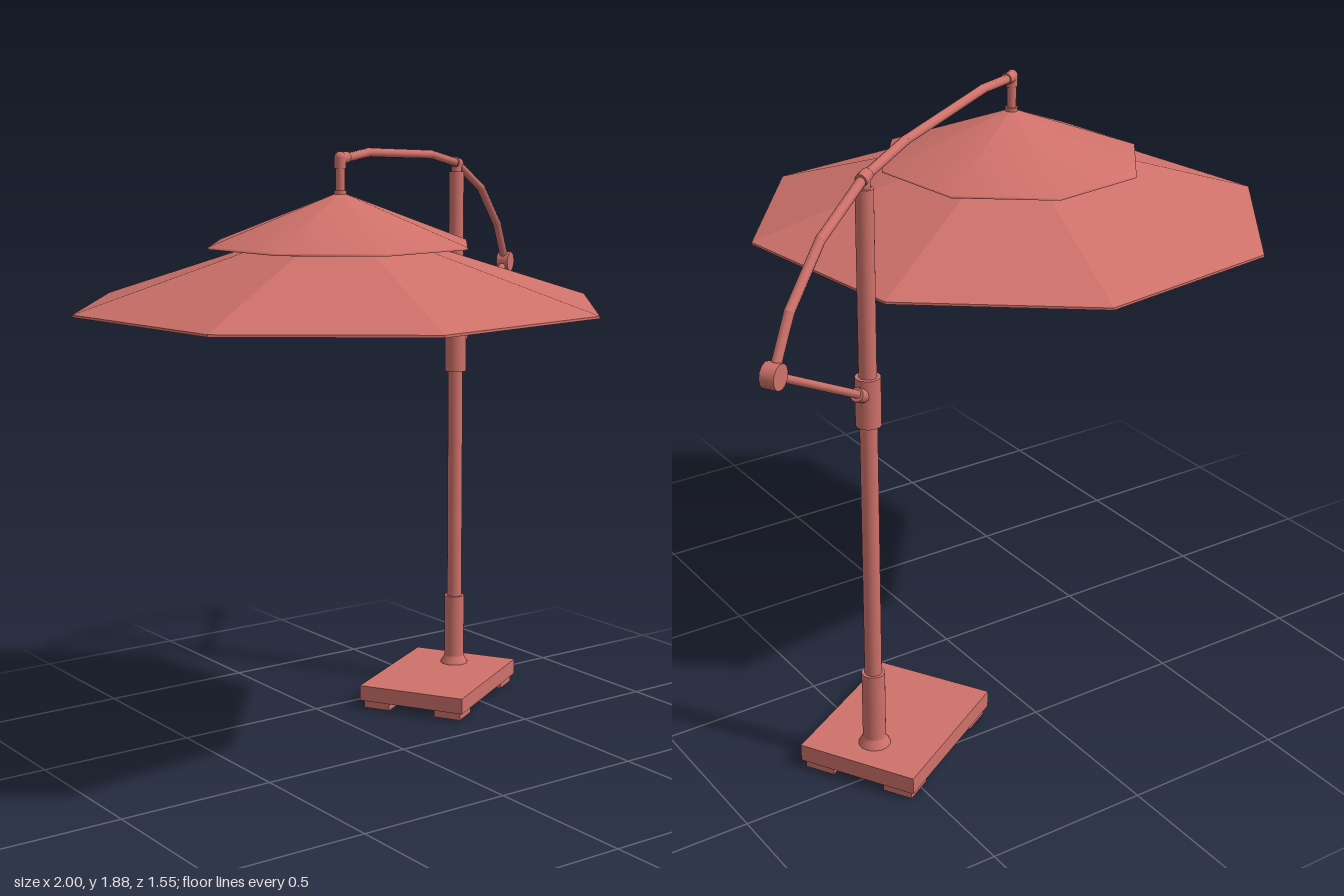
import * as THREE from 'three';

const mat = (flat) => new THREE.MeshStandardMaterial({
  color: 0xcf716a, flatShading: flat, side: THREE.DoubleSide,
});
const smooth = mat(false);
const flat = mat(true);

export function createModel() {
  const model = new THREE.Group();
  model.name = 'cantileverParasol';

  // Local frame: canopy axis at the origin, arm running along +x
  const frame = new THREE.Group();
  frame.name = 'parasolFrame';
  frame.position.x = -0.229;
  frame.rotation.y = 0.528;
  model.add(frame);

  const add = (name, geometry, x = 0, y = 0, z = 0, material = smooth, parent = frame) => {
    const mesh = new THREE.Mesh(geometry, material);
    mesh.name = name;
    mesh.position.set(x, y, z);
    parent.add(mesh);
    return mesh;
  };
  const group = (name) => {
    const g = new THREE.Group();
    g.name = name;
    frame.add(g);
    return g;
  };
  const column = (name, r, y0, y1, x, parent = frame, sides = 20) =>
    add(name, new THREE.CylinderGeometry(r, r, y1 - y0, sides), x, (y0 + y1) / 2, 0, smooth, parent);
  const rod = (name, a, b, r, parent = frame, sides = 10) => {
    const dir = b.clone().sub(a);
    const mid = a.clone().add(b).multiplyScalar(0.5);
    const mesh = add(name, new THREE.CylinderGeometry(r, r, dir.length(), sides), mid.x, mid.y, mid.z, smooth, parent);
    mesh.quaternion.setFromUnitVectors(new THREE.Vector3(0, 1, 0), dir.normalize());
    return mesh;
  };
  const lathe = (profile, sides) =>
    new THREE.LatheGeometry(profile.map(([r, y]) => new THREE.Vector2(r, y)), sides);
  const P = (x, y, z = 0) => new THREE.Vector3(x, y, z);

  const postX = 0.904;
  const knobX = 1.376, knobY = 1.445;

  // Base slab and four feet
  add('baseSlab', new THREE.BoxGeometry(0.496, 0.052, 0.37), 0.767, 0.052, 0, flat);
  for (const sx of [-1, 1]) for (const sz of [-1, 1])
    add('baseFoot', new THREE.BoxGeometry(0.095, 0.027, 0.092), 0.767 + sx * 0.19, 0.0135, sz * 0.128, flat);

  // Post with flared socket and sliding sleeve
  add('postFlare', lathe([[0.047, 0.078], [0.044, 0.086], [0.037, 0.097], [0.034, 0.105]], 20), postX);
  column('postSocket', 0.034, 0.078, 0.32, postX);
  column('post', 0.025, 0.078, 1.783, postX);
  column('postPin', 0.017, 1.78, 1.815, postX);
  column('slidingSleeve', 0.036, 1.11, 1.253, postX);

  // Bent arm made of straight runs with rounded joints
  const arm = group('arm');
  const path = [P(0, 1.852), P(0.06, 1.856), P(0.2, 1.866), P(0.68, 1.846), P(postX, 1.812),
    P(1.132, 1.717), P(1.292, 1.582), P(knobX, knobY)];
  path.forEach((p, i) => {
    if (i === 0) return;
    rod('armSegment', path[i - 1], p, 0.014, arm);
    if (i < path.length - 1)
      add('armJoint', new THREE.SphereGeometry(0.0145, 10, 8), p.x, p.y, 0, smooth, arm);
  });
  rod('armClamp', P(postX - 0.018, 1.816), P(postX + 0.018, 1.808), 0.018, arm, 12);

  // Rounded elbow and hanger holding the canopy
  const hanger = group('canopyHanger');
  column('hangerRod', 0.014, 1.74, 1.852, 0, hanger, 12);
  column('hangerTip', 0.008, 1.6, 1.75, 0, hanger, 10);
  column('hangerElbow', 0.0175, 1.825, 1.858, 0, hanger, 12);
  add('elbowCap', new THREE.SphereGeometry(0.0175, 12, 8), 0, 1.857, 0, smooth, hanger);
  rod('elbowSleeve', P(0, 1.854), P(0.042, 1.856), 0.0175, hanger, 12);
  column('hangerCollar', 0.019, 1.745, 1.762, 0, hanger, 12);

  // Pivot knob, strut and strut bracket
  const knob = add('pivotKnob', new THREE.CylinderGeometry(0.035, 0.035, 0.042, 12), knobX, knobY);
  knob.rotation.x = Math.PI / 2;
  rod('strut', P(0.945, 1.215), P(knobX, knobY), 0.012);
  rod('strutBracket', P(0.93, 1.207), P(0.967, 1.225), 0.02, frame, 12);

  // Two-tier eight-sided canopy; the upper tier has a short soft hem
  add('lowerCanopy', lathe([[0.1, 1.652], [0.8, 1.43], [0.8, 1.423], [0.1, 1.645], [0.1, 1.652]], 8), 0, 0, 0, flat);
  add('upperCanopy', lathe([[0.004, 1.757], [0.402, 1.608], [0.402, 1.601]], 8));

  // Ribs under both tiers, meeting at the hanger
  const ribs = group('canopyRibs');
  for (let i = 0; i < 8; i++) {
    const a = (i * Math.PI) / 4;
    const at = (r, y) => P(r * Math.cos(a), y, r * Math.sin(a));
    rod('lowerRib', at(0.1, 1.645), at(0.79, 1.426), 0.005, ribs, 6);
    rod('upperRib', at(0.012, 1.748), at(0.392, 1.606), 0.004, ribs, 6);
  }

  return model;
}
